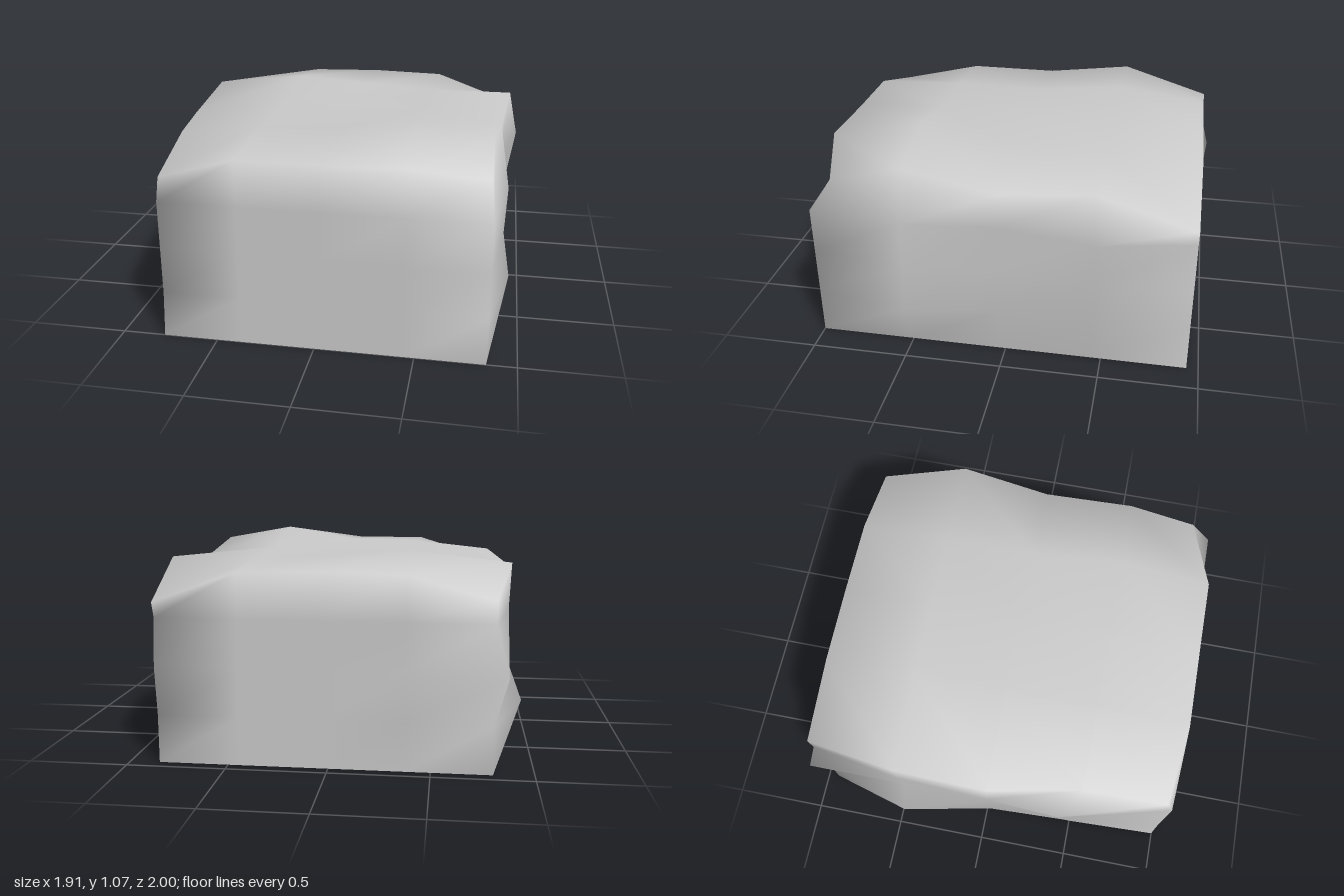
import * as THREE from 'three';
import { mergeVertices } from 'three/addons/utils/BufferGeometryUtils.js';

const N = 4; // segments along each side of the block

// Height of the top skin: rows run back to front, columns from -x to +x
const TOP_Y = [
  [0.85, 0.96, 0.97, 0.96, 0.81],
  [0.97, 1.03, 1.0, 0.98, 0.98],
  [0.91, 0.98, 0.99, 0.99, 0.92],
  [0.945, 0.99, 1.0, 1.07, 1.0],
  [0.85, 0.97, 0.97, 0.98, 0.91],
];

// Bulge of the two sides: rows run bottom to top, columns back to front
const RIGHT_X = [
  [-0.8, -0.82, -0.8, -0.8, -0.78],
  [-0.8, -0.96, -0.86, -0.84, -0.77],
  [-0.86, -0.86, -0.86, -0.85, -0.77],
  [-0.8, -0.88, -0.9, -0.92, -0.77],
  [-0.8, -0.89, -0.89, -0.8, -0.77],
];
const LEFT_X = [
  [0.85, 0.85, 0.85, 0.85, 0.85],
  [0.85, 0.9, 0.87, 0.94, 0.85],
  [0.86, 0.91, 0.86, 0.9, 0.85],
  [0.85, 0.95, 0.86, 0.91, 0.85],
  [0.86, 0.9, 0.86, 0.83, 0.83],
];

// Depth shifts at a few corner points, keyed by column, row and depth
const SHIFT_Z = { '0,2,0': -0.06, '0,4,0': -0.01, '0,4,4': -0.04, '4,4,4': -0.12, '0,3,3': -0.1 };

function lumpyBlockGeometry() {
  let geometry = new THREE.BoxGeometry(1, 1, 1, N, N, N);

  // Leave the underside open
  const underside = geometry.groups[3];
  const index = Array.from(geometry.index.array);
  index.splice(underside.start, underside.count);
  geometry.setIndex(index);
  geometry.clearGroups();

  // Weld the sides so the whole skin shades smoothly
  geometry.deleteAttribute('uv');
  geometry.deleteAttribute('normal');
  geometry = mergeVertices(geometry);

  // Push each grid point to its place on the lumpy skin
  const p = geometry.attributes.position;
  for (let v = 0; v < p.count; v++) {
    const [i, j, k] = [p.getX(v), p.getY(v), p.getZ(v)].map((c) => Math.round((c + 0.5) * N));
    let x = -0.78 + 0.4075 * i;
    if (i === 0) x = RIGHT_X[j][k];
    if (i === N) x = LEFT_X[j][k];
    const y = j === N ? TOP_Y[k][i] : 0.245 * j;
    const z = -0.94 + 0.485 * k + (SHIFT_Z[`${i},${j},${k}`] ?? 0);
    p.setXYZ(v, x, y, z);
  }
  geometry.computeVertexNormals();
  return geometry;
}

export function createModel() {
  const group = new THREE.Group();
  const material = new THREE.MeshStandardMaterial({ color: 0xcccccc, side: THREE.DoubleSide });
  const block = new THREE.Mesh(lumpyBlockGeometry(), material);
  block.name = 'lumpyBlock';
  group.add(block);
  return group;
}
